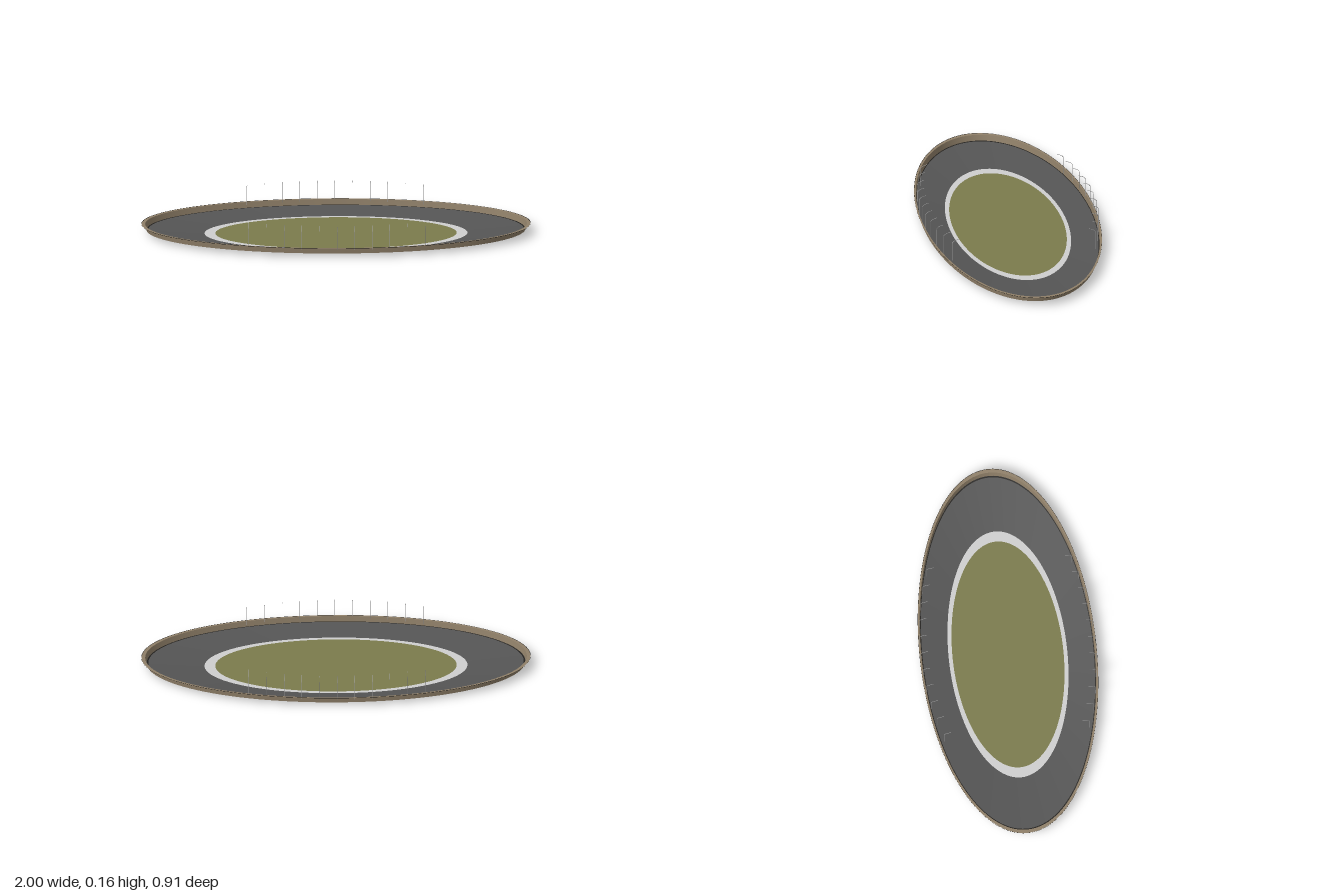
import * as THREE from 'three';

const mat = (name, color) => {
  const m = new THREE.MeshStandardMaterial({ color, side: THREE.DoubleSide });
  m.name = name;
  return m;
};

// Surface running through a list of elliptical sections [radiusX, radiusZ, y], inside to outside
function ovalBand(sections, segments = 128) {
  const pos = [], index = [], row = segments + 1;
  for (const [rx, rz, y] of sections)
    for (let i = 0; i <= segments; i++) {
      const a = (i / segments) * Math.PI * 2;
      pos.push(Math.cos(a) * rx, y, Math.sin(a) * rz);
    }
  for (let s = 0; s < sections.length - 1; s++)
    for (let i = 0; i < segments; i++) {
      const a = s * row + i, b = a + row;
      index.push(a, a + 1, b, b, a + 1, b + 1);
    }
  const g = new THREE.BufferGeometry();
  g.setAttribute('position', new THREE.Float32BufferAttribute(pos, 3));
  g.setIndex(index);
  g.computeVertexNormals();
  return g;
}

// Lamp post whose arm bends inward along -z
function lampGeometry() {
  const path = new THREE.CurvePath();
  const points = [[0.04, 0], [0.138, 0], [0.148, -0.01], [0.153, -0.02], [0.157, -0.035]]
    .map(([y, z]) => new THREE.Vector3(0, y, z));
  for (let i = 1; i < points.length; i++) path.add(new THREE.LineCurve3(points[i - 1], points[i]));
  return new THREE.TubeGeometry(path, 24, 0.0013, 6, false);
}

export function createModel() {
  const model = new THREE.Group();
  model.name = 'ovalArena';

  const grass = mat('grass', 0x7b7b4c);
  const white = mat('whiteLine', 0xcfcfcf);
  const asphalt = mat('asphalt', 0x555555);
  const tan = mat('tanWall', 0x8f7f68);
  const dark = mat('darkTrim', 0x252320);
  const metal = mat('lampMetal', 0x9a9a9a);

  const add = (name, geometry, material, parent = model) => {
    const mesh = new THREE.Mesh(geometry, material);
    mesh.name = name;
    parent.add(mesh);
    return mesh;
  };

  // Flat infield, border and banked track
  const infield = new THREE.CircleGeometry(1, 128).rotateX(-Math.PI / 2).scale(0.62, 1, 0.285);
  add('infield', infield, grass);
  add('infieldBorder', ovalBand([[0.62, 0.285, 0], [0.675, 0.305, 0]]), white);
  add('track', ovalBand([[0.675, 0.305, 0], [0.973, 0.443, 0.02]]), asphalt);

  // Surrounding wall with a flat lip and dark edges
  add('trackEdge', ovalBand([[0.964, 0.439, 0.0203], [0.972, 0.4425, 0.0209]]), dark);
  add('wall', ovalBand([[0.973, 0.443, 0.02], [0.98, 0.446, 0.05]]), tan);
  add('wallLip', ovalBand([[0.98, 0.446, 0.05], [0.998, 0.454, 0.0505]]), tan);
  add('lipEdge', ovalBand([[0.998, 0.454, 0.049], [1, 0.455, 0.0515]]), dark);

  // Two curved rows of lamp posts
  const lamp = lampGeometry();
  for (const side of [1, -1]) {
    const row = new THREE.Group();
    row.name = side > 0 ? 'frontLamps' : 'backLamps';
    for (let i = -5; i <= 5; i++) {
      const x = i * 0.0905;
      const post = add('lampPost', lamp, metal, row);
      post.position.set(x, 0, side * 0.449 * Math.sqrt(1 - (x / 0.82) ** 2));
      if (side < 0) post.rotation.y = Math.PI;
    }
    model.add(row);
  }
  return model;
}
